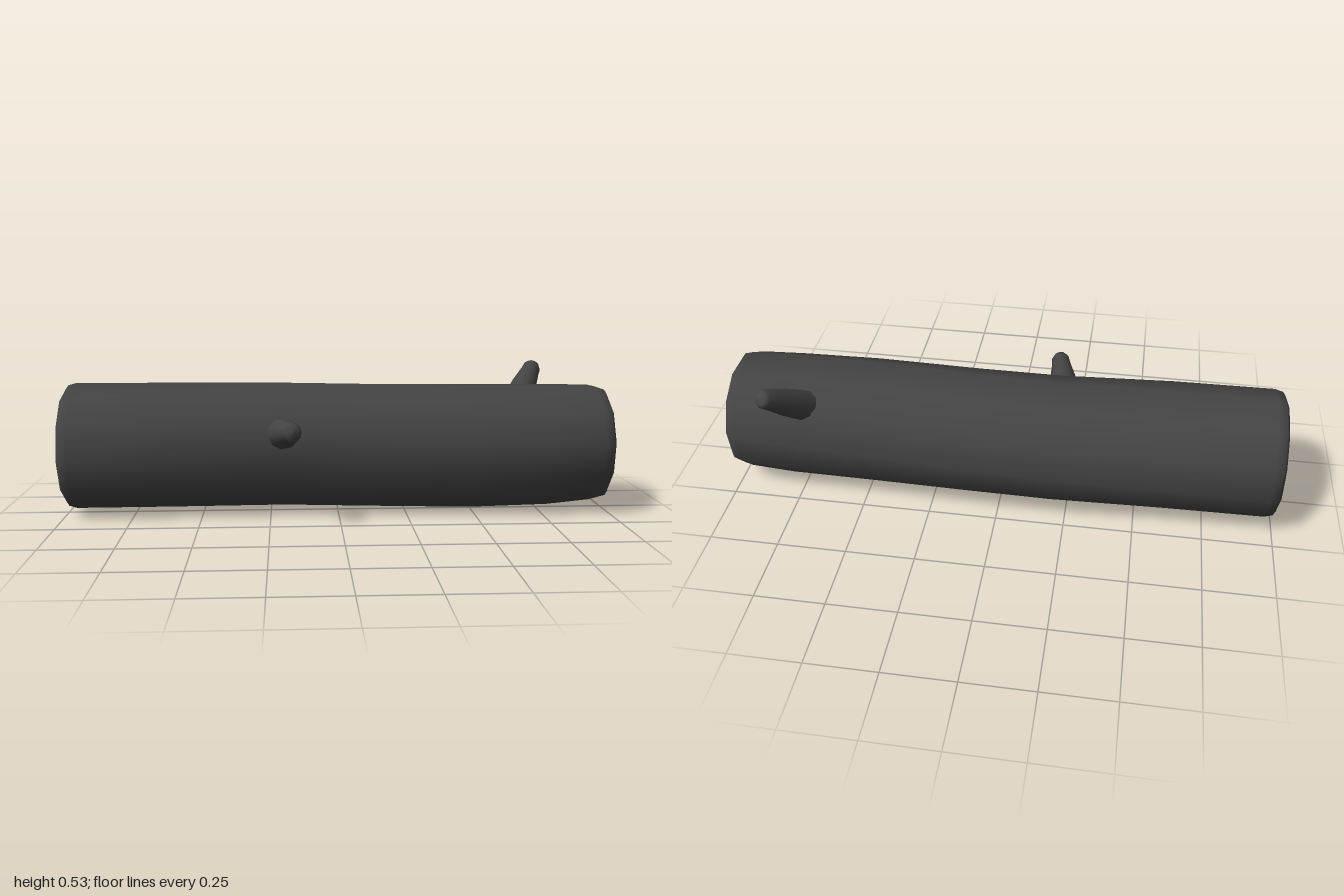
import * as THREE from 'three';

const SIDES = 11;

// Skin a row of rings [x, centreY, centreZ, radiusY, radiusZ] running along x
function loft(rings, twist) {
  const pos = [], index = [];
  rings.forEach(([x, cy, cz, ry, rz], i) => {
    for (let j = 0; j < SIDES; j++) {
      const a = (j / SIDES) * Math.PI * 2 + 0.12 + twist * x;
      pos.push(x, cy + Math.cos(a) * ry, cz + Math.sin(a) * rz);
      if (i === rings.length - 1) continue;
      const k = (j + 1) % SIDES, r0 = i * SIDES, r1 = r0 + SIDES;
      index.push(r0 + j, r0 + k, r1 + j, r0 + k, r1 + k, r1 + j);
    }
  });
  const geo = new THREE.BufferGeometry();
  geo.setAttribute('position', new THREE.Float32BufferAttribute(pos, 3));
  geo.setIndex(index);
  geo.computeVertexNormals();
  return geo;
}

export function createModel() {
  const group = new THREE.Group();
  const bark = new THREE.MeshStandardMaterial({ color: 0x444444 });

  // Trunk: gently bent body
  const body = [
    [-0.96, 0.25, -0.028, 0.232, 0.23],
    [-0.6, 0.25, -0.035, 0.232, 0.232],
    [-0.2, 0.248, -0.053, 0.232, 0.228],
    [0.1, 0.243, -0.046, 0.234, 0.229],
    [0.5, 0.239, -0.029, 0.237, 0.229],
    [0.8, 0.24, -0.029, 0.232, 0.228],
    [0.96, 0.245, -0.031, 0.223, 0.222],
  ];
  // Rounded rim and dished end, as [|x|, radius scale], from centre outwards
  const end = [[0.965, 0], [0.967, 0.45], [0.975, 0.7], [0.998, 0.83], [1, 0.9], [0.99, 0.965]];
  const cap = (sx, [, cy, cz, ry, rz]) => end.map(([x, s]) => [sx * x, cy, cz, ry * s, rz * s]);
  const rings = [...cap(-1, body[0]), ...body, ...cap(1, body[body.length - 1]).reverse()];
  const trunk = new THREE.Mesh(loft(rings, 0.15), bark);
  trunk.name = 'trunk';
  group.add(trunk);

  // Branch stubs: tapered, round-tipped, sunk into the trunk
  const stub = (name, from, to, r0, r1) => {
    const a = new THREE.Vector3(...from), dir = new THREE.Vector3(...to).sub(a);
    const len = dir.length();
    const profile = [[r0, 0], [r0 * 0.88, len * 0.4], [r1 * 1.1, len * 0.75], [r1, len - r1 * 0.6],
      [r1 * 0.75, len - r1 * 0.15], [0, len]].map(([r, y]) => new THREE.Vector2(r, y));
    const mesh = new THREE.Mesh(new THREE.LatheGeometry(profile, 10), bark);
    mesh.position.copy(a);
    mesh.quaternion.setFromUnitVectors(new THREE.Vector3(0, 1, 0), dir.normalize());
    mesh.name = name;
    group.add(mesh);
  };
  stub('frontBranch', [-0.21, 0.311, 0.12], [-0.167, 0.353, 0.335], 0.058, 0.034);
  stub('backBranch', [0.705, 0.38, -0.165], [0.805, 0.514, -0.321], 0.058, 0.035);

  return group;
}
